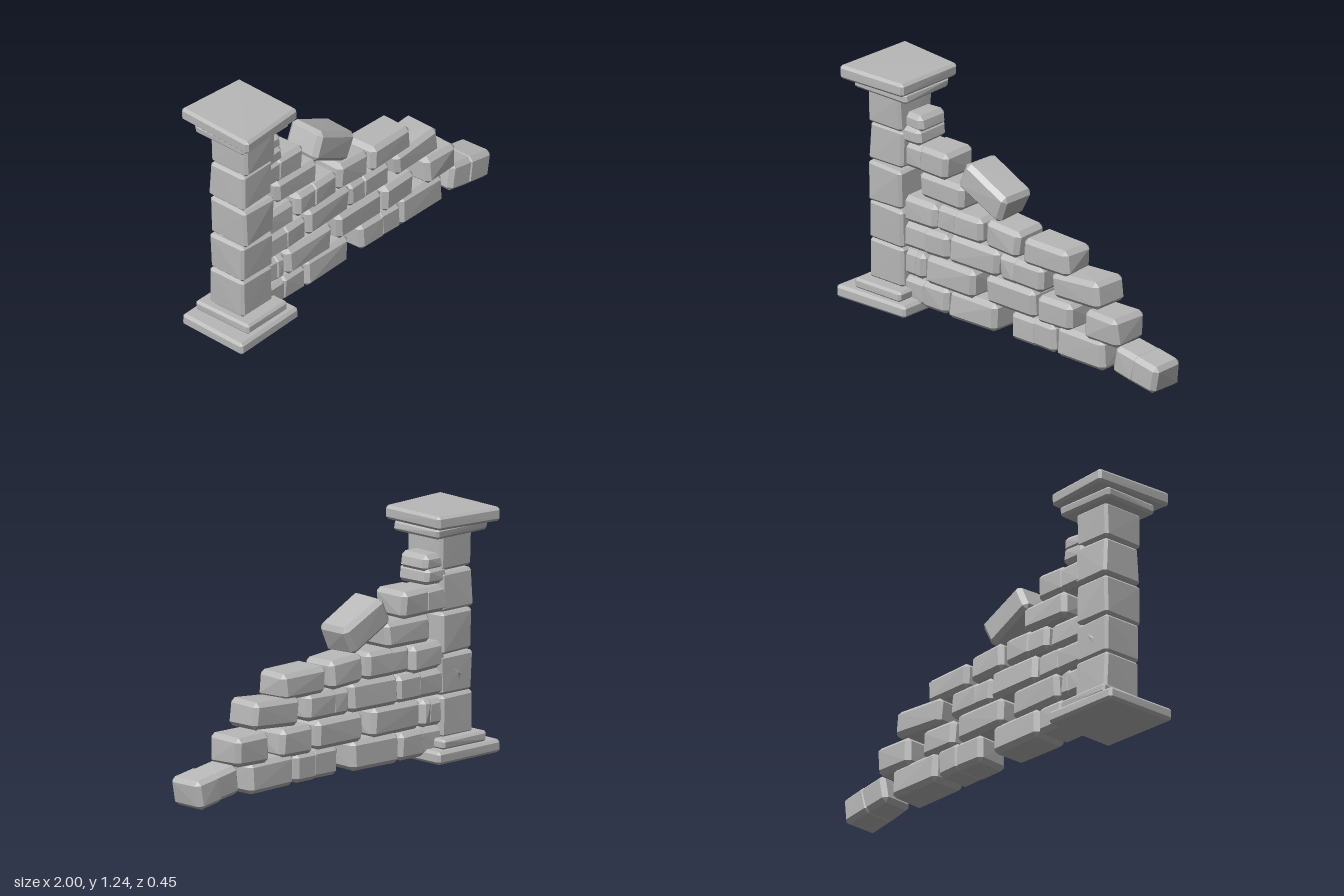
import * as THREE from 'three';
import { ConvexGeometry } from 'three/addons/geometries/ConvexGeometry.js';

export function createModel() {
  const model = new THREE.Group();
  model.name = 'ruinedWall';
  const stoneGrey = new THREE.MeshStandardMaterial({ color: 0xb8b8b8 });
  stoneGrey.name = 'stoneGrey';

  // Small seeded generator for hand-cut unevenness
  let seed = 7;
  const jitter = (a) => {
    seed = (seed * 16807) % 2147483647;
    return (seed / 2147483647 - 0.5) * 2 * a;
  };

  // Chamfered stone over a four-cornered plan: back-left, back-right, front-left, front-right
  function stone(name, parent, plan, y0, y1, bevel, rough = 0.005, tilt = 0) {
    const cx = plan.reduce((s, p) => s + p[0], 0) / 4;
    const cz = plan.reduce((s, p) => s + p[1], 0) / 4;
    const cy = (y0 + y1) / 2, h = (y1 - y0) / 2;
    const points = [];
    plan.forEach(([px, pz], i) => {
      for (const sy of [-1, 1]) {
        const sx = i % 2 ? 1 : -1, sz = i < 2 ? -1 : 1;
        const x = px - cx + jitter(rough);
        const y = sy * h + jitter(rough * 0.6);
        const z = pz - cz + jitter(rough);
        const b = bevel;
        points.push(
          new THREE.Vector3(x, y - sy * b, z - sz * b),
          new THREE.Vector3(x - sx * b, y, z - sz * b),
          new THREE.Vector3(x - sx * b, y - sy * b, z)
        );
      }
    });
    const mesh = new THREE.Mesh(new ConvexGeometry(points), stoneGrey);
    mesh.name = name;
    mesh.position.set(cx, cy, cz);
    mesh.rotation.z = tilt;
    parent.add(mesh);
    return mesh;
  }
  const rect = (x0, x1, z0, z1) => [[x0, z0], [x1, z0], [x0, z1], [x1, z1]];

  // Pillar: stepped base, five shaft stones, stepped cap
  const pillar = new THREE.Group();
  pillar.name = 'pillar';
  model.add(pillar);
  stone('basePlinth', pillar, [[-0.98, -0.19], [-0.55, -0.2], [-1, 0.215], [-0.56, 0.2]], 0, 0.065, 0.014, 0.002);
  stone('baseStep', pillar, rect(-0.91, -0.61, -0.17, 0.175), 0.062, 0.115, 0.012, 0.003);
  [
    [0.11, 0.317, -0.115, 0.11], [0.32, 0.517, -0.11, 0.115], [0.522, 0.728, -0.11, 0.125],
    [0.735, 0.932, -0.115, 0.115], [0.937, 1.118, -0.11, 0.13]
  ].forEach(([y0, y1, z0, z1]) =>
    stone('shaftStone', pillar, rect(-0.87, -0.652, z0, z1), y0, y1, 0.014, 0.005));
  stone('capStep', pillar, rect(-0.93, -0.585, -0.155, 0.16), 1.112, 1.166, 0.013, 0.003);
  stone('capSlab', pillar, [[-0.945, -0.228], [-0.56, -0.19], [-0.97, 0.222], [-0.568, 0.205]], 1.165, 1.235, 0.014, 0.002);

  // Shallow pointed chips on the shaft faces
  function chip(x, y, z, side) {
    const pts = [[-0.03, 0.035, 0], [0.035, -0.01, 0], [0.015, -0.045, 0], [0, 0, 0.006]]
      .map(([a, b, c]) => new THREE.Vector3(a * side, b, c * side));
    const mesh = new THREE.Mesh(new ConvexGeometry(pts), stoneGrey);
    mesh.name = 'stoneChip';
    mesh.position.set(x, y, z);
    pillar.add(mesh);
  }
  chip(-0.74, 0.64, 0.122, 1);
  chip(-0.76, 0.42, -0.108, -1);

  // Wall courses: x0, x1, y0, y1, z0, z1, tilt, crack position
  const wall = new THREE.Group();
  wall.name = 'brokenWall';
  model.add(wall);
  const bricks = [
    // first course
    [-0.7, -0.38, 0.035, 0.172, -0.105, 0.09, 0, -0.535],
    [-0.378, -0.062, 0.03, 0.18, -0.11, 0.09],
    [0.03, 0.326, 0.035, 0.182, -0.105, 0.09, 0, 0.19],
    [0.33, 0.64, 0.03, 0.185, -0.11, 0.085],
    [0.698, 0.988, 0.022, 0.17, -0.105, 0.088, -0.17, 0.84],
    // second course
    [-0.7, -0.53, 0.175, 0.312, -0.105, 0.09, 0, -0.585],
    [-0.525, -0.196, 0.175, 0.322, -0.11, 0.1],
    [-0.133, 0.186, 0.175, 0.322, -0.11, 0.09],
    [0.208, 0.426, 0.172, 0.317, -0.11, 0.09],
    [0.515, 0.732, 0.175, 0.322, -0.12, 0.09],
    // third course
    [-0.7, -0.375, 0.322, 0.456, -0.105, 0.095, 0, -0.52],
    [-0.368, -0.05, 0.325, 0.472, -0.11, 0.095],
    [-0.048, 0.24, 0.325, 0.46, -0.105, 0.09, 0, 0.06],
    [0.3, 0.61, 0.335, 0.47, -0.11, 0.085, 0.06],
    // fourth course
    [-0.7, -0.462, 0.456, 0.592, -0.105, 0.09],
    [-0.448, -0.15, 0.472, 0.608, -0.115, 0.1, 0, -0.32],
    [-0.128, 0.088, 0.465, 0.61, -0.11, 0.09, -0.07],
    [0.115, 0.405, 0.456, 0.59, -0.105, 0.09],
    // upper courses
    [-0.58, -0.284, 0.606, 0.738, -0.115, 0.082],
    [-0.7, -0.39, 0.738, 0.874, -0.12, 0.085, 0, -0.56],
    // fallen stone
    [-0.305, -0.01, 0.667, 0.823, -0.118, 0.085, -0.47]
  ];
  for (const [x0, x1, y0, y1, z0, z1, tilt = 0, crack] of bricks) {
    if (crack === undefined) {
      stone('wallStone', wall, rect(x0, x1, z0, z1), y0, y1, 0.023, 0.006, tilt);
      continue;
    }
    // A cracked stone is two overlapping halves that leave a shallow groove
    const cx = (x0 + x1) / 2, cy = (y0 + y1) / 2;
    const cracked = new THREE.Group();
    cracked.name = 'crackedStone';
    cracked.position.set(cx, cy, 0);
    cracked.rotation.z = tilt;
    wall.add(cracked);
    const h = (y1 - y0) / 2;
    stone('crackedHalf', cracked, rect(x0 - cx, crack - cx + 0.018, z0 + 0.004, z1 - 0.004), -h, h - 0.004, 0.022, 0.004);
    stone('crackedHalf', cracked, rect(crack - cx - 0.018, x1 - cx, z0, z1), -h, h, 0.022, 0.004);
  }

  // Topmost stone beside the shaft, broken by a notch at the front
  stone('topStone', wall, rect(-0.7, -0.552, -0.1, 0.085), 0.945, 1.028, 0.022, 0.004);
  stone('topStoneFoot', wall, rect(-0.7, -0.555, -0.11, 0.1), 0.878, 0.965, 0.02, 0.004);

  return model;
}
